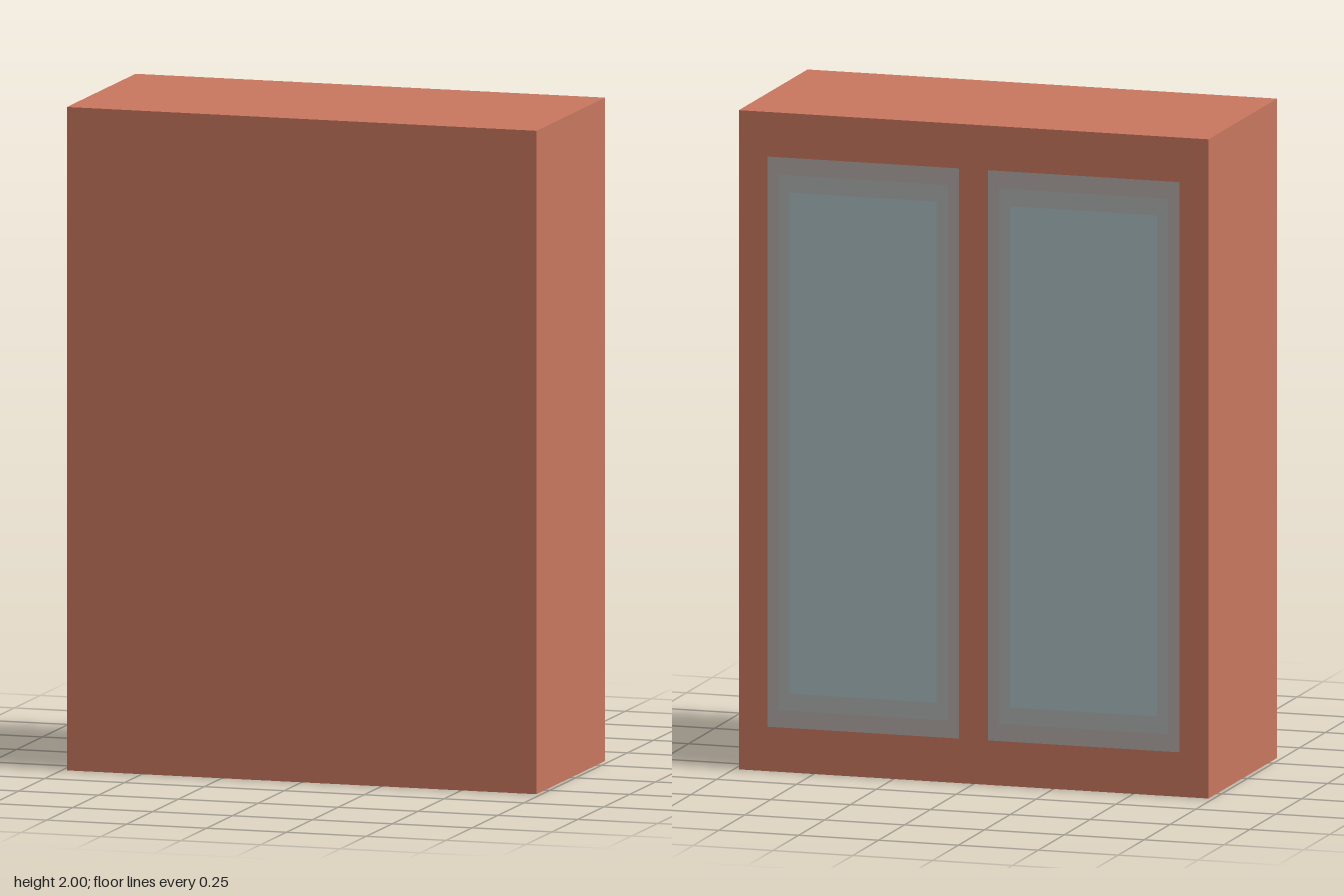
import * as THREE from 'three';

const W = 1.47, H = 2, D = 0.664;
const PANE_W = 0.6, PANE_H = 1.73, PANE_X = 0.345;

function material(color) {
  return new THREE.MeshStandardMaterial({ color });
}

// Each pane fades from a warm rim to cool glass in thin stacked sheets
const SHEETS = [
  { name: 'paneRim', inset: 0, color: 0xb2a8a5 },
  { name: 'paneBevel', inset: 0.035, color: 0xaeb1b1 },
  { name: 'paneGlass', inset: 0.07, color: 0xa8bbbf },
];

function createPane(name, x) {
  const pane = new THREE.Group();
  pane.name = name;
  SHEETS.forEach(({ name: part, inset, color }, i) => {
    const sheet = new THREE.Mesh(
      new THREE.PlaneGeometry(PANE_W - 2 * inset, PANE_H - 3 * inset),
      material(color)
    );
    sheet.name = part;
    sheet.rotation.y = Math.PI;
    sheet.position.z = -0.001 * (i + 1);
    pane.add(sheet);
  });
  pane.position.set(x, H / 2, -D / 2);
  return pane;
}

export function createModel() {
  const model = new THREE.Group();
  model.name = 'cabinet';

  // Solid case standing on the floor
  const body = new THREE.Mesh(new THREE.BoxGeometry(W, H, D), material(0xc8775e));
  body.name = 'cabinetBody';
  body.position.y = H / 2;
  model.add(body);

  // Two tall panes side by side on the back face
  model.add(createPane('leftPane', PANE_X), createPane('rightPane', -PANE_X));
  return model;
}
